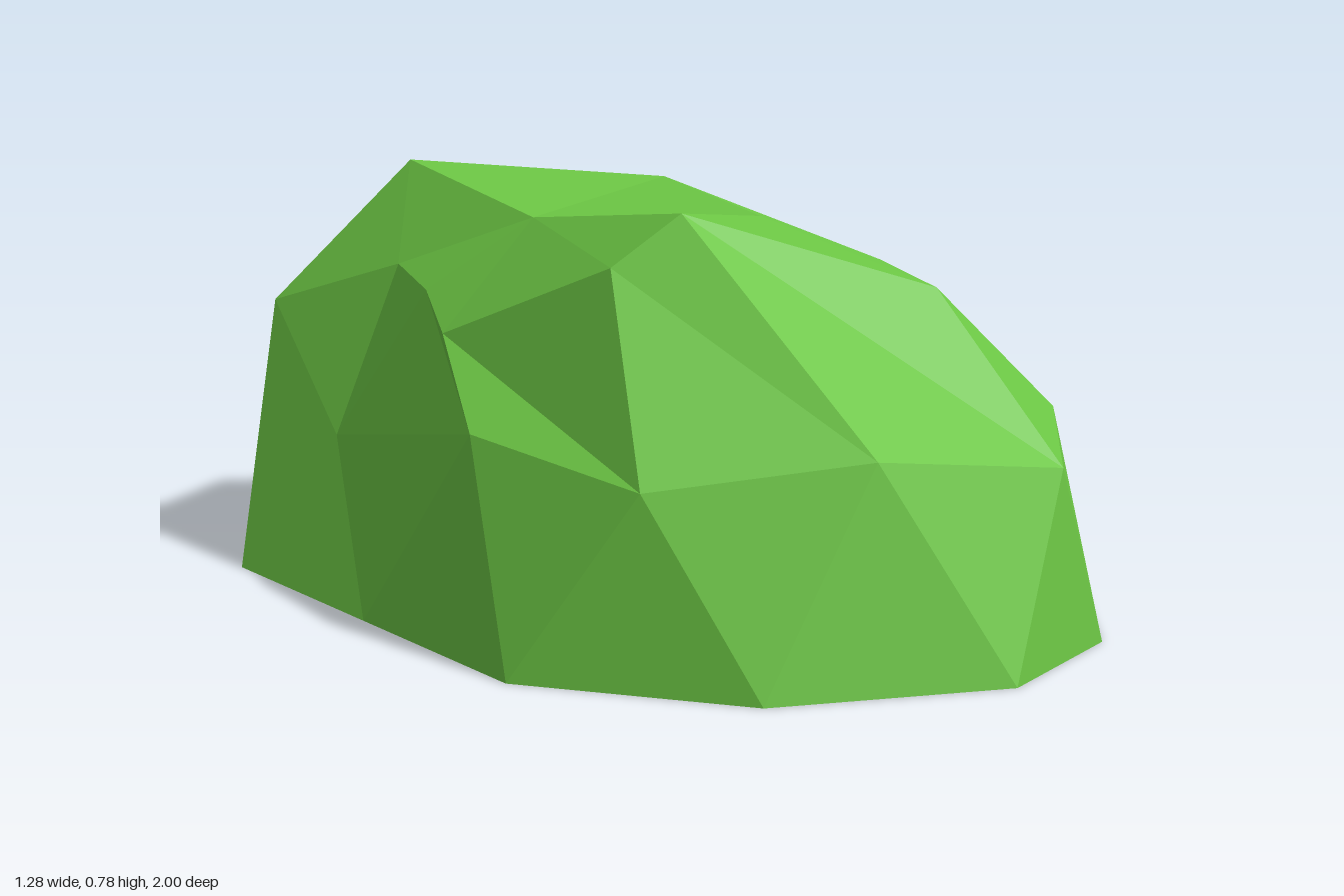
import * as THREE from 'three';

// Irregular rings, each running front -> +x -> back -> -x
const base = [
  [0.05, 0, 1], [0.37, 0, 0.86], [0.64, 0, 0.5], [0.61, 0, -0.07],
  [0.6, 0, -0.5], [0.37, 0, -0.86], [0.05, 0, -1], [-0.37, 0, -0.86],
  [-0.64, 0, -0.5], [-0.64, 0, 0], [-0.64, 0, 0.5], [-0.37, 0, 0.86],
];
const lower = [
  [0.25, 0.33, 0.88], [0.45, 0.38, 0.63], [0.6, 0.31, 0.28], [0.62, 0.26, -0.36],
  [0.45, 0.38, -0.6], [0.25, 0.32, -0.89], [-0.14, 0.54, -0.86], [-0.48, 0.5, -0.65],
  [-0.52, 0.28, -0.32], [-0.57, 0.38, 0.27], [-0.47, 0.33, 0.65], [-0.14, 0.38, 0.86],
];
const upper = [
  [0.17, 0.62, 0.63], [0.33, 0.62, 0.27], [0.58, 0.39, 0], [0.42, 0.45, -0.38],
  [0.17, 0.67, -0.54], [-0.05, 0.7, -0.53], [-0.25, 0.78, -0.5], [-0.38, 0.6, -0.32],
  [-0.41, 0.57, -0.16], [-0.49, 0.52, 0.04], [-0.37, 0.67, 0.41], [-0.25, 0.76, 0.45],
];
// Three crown points, shared by the columns of the upper ring
const A = [0.05, 0.72, 0.27], T = [0.15, 0.75, -0.19], M = [-0.26, 0.71, -0.02];
const crown = [A, T, T, T, T, T, M, M, M, M, M, A];

export function createModel() {
  const positions = [];
  const tri = (a, b, c) => {
    if (a !== b && b !== c && c !== a) positions.push(...a, ...b, ...c);
  };
  // Stitch neighbouring rings into a band of triangles
  const band = (low, high) => low.forEach((p, i) => {
    const j = (i + 1) % low.length;
    tri(p, low[j], high[i]);
    tri(high[i], low[j], high[j]);
  });

  band(base, lower);
  band(lower, upper);
  band(upper, crown);
  tri(A, T, M);
  // Flat underside
  base.forEach((p, i) => tri([0, 0, 0], base[(i + 1) % base.length], p));

  const geometry = new THREE.BufferGeometry();
  geometry.setAttribute('position', new THREE.Float32BufferAttribute(positions, 3));
  geometry.computeVertexNormals();

  const bush = new THREE.Mesh(
    geometry,
    new THREE.MeshStandardMaterial({ color: 0x6cc644, flatShading: true })
  );
  bush.name = 'bush';
  const group = new THREE.Group();
  group.name = 'lowPolyBush';
  group.add(bush);
  return group;
}
